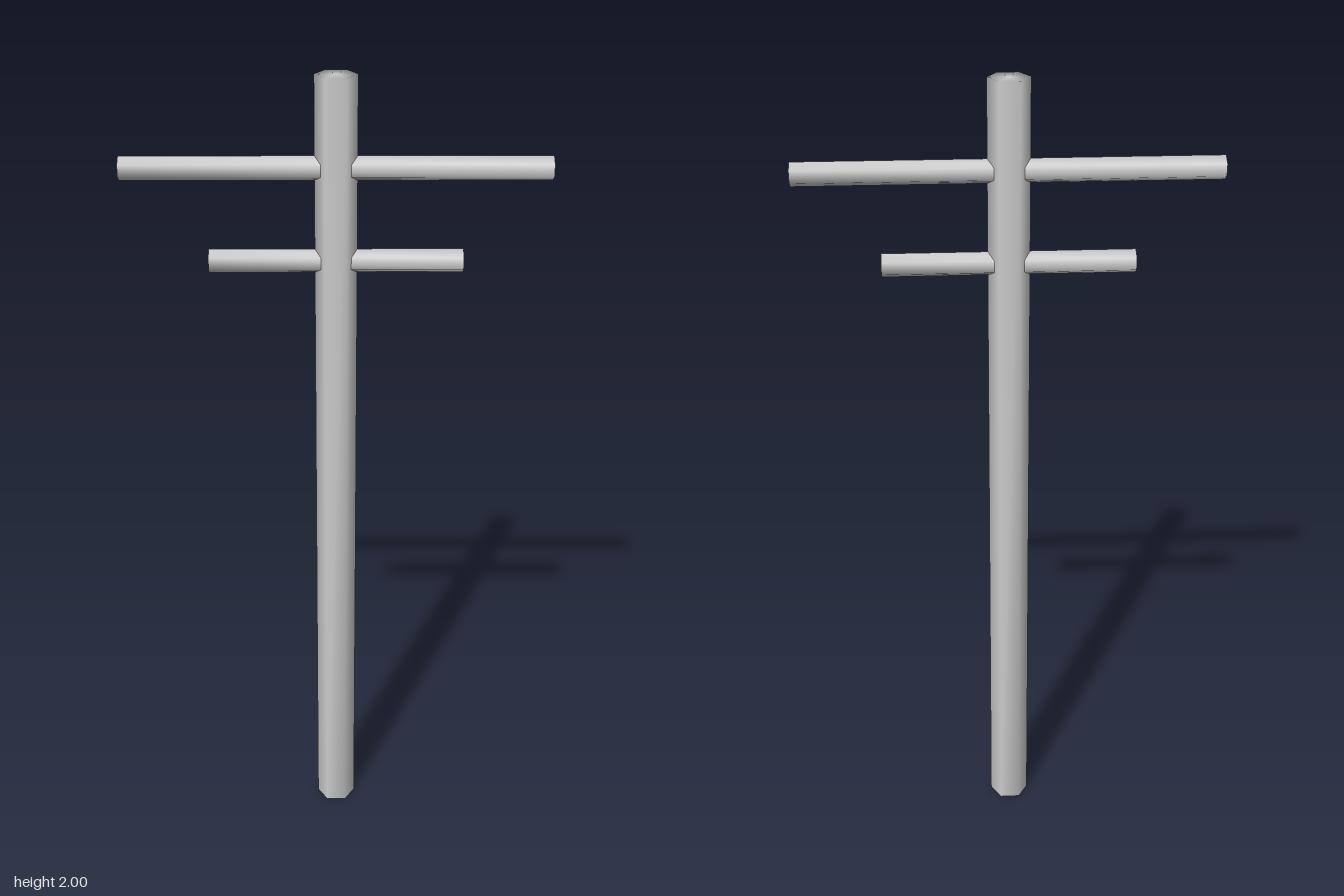
import * as THREE from 'three';
import { mergeVertices } from 'three/addons/utils/BufferGeometryUtils.js';

const material = new THREE.MeshStandardMaterial({ color: 0xcccccc });

// Six-sided rod along y with a corner on +x, shaded smoothly across all edges
function hexRod(radius, length) {
  const rod = new THREE.CylinderGeometry(radius, radius, length, 6, 1, false, Math.PI / 6);
  rod.deleteAttribute('normal');
  rod.deleteAttribute('uv');
  const smooth = mergeVertices(rod);
  smooth.computeVertexNormals();
  return smooth;
}

function addPart(group, name, geometry, y) {
  const mesh = new THREE.Mesh(geometry, material);
  mesh.name = name;
  mesh.position.y = y;
  group.add(mesh);
}

export function createModel() {
  const group = new THREE.Group();
  group.name = 'utilityPole';

  // Upright post
  addPart(group, 'post', hexRod(0.05, 2), 1);

  // Two crossarms: long above, short below
  const arms = [
    ['upperCrossarm', 1, 1.785],
    ['lowerCrossarm', 0.6, 1.562],
  ];
  for (const [name, length, y] of arms) {
    addPart(group, name, hexRod(0.029, length).rotateZ(Math.PI / 2), y);
  }
  return group;
}
